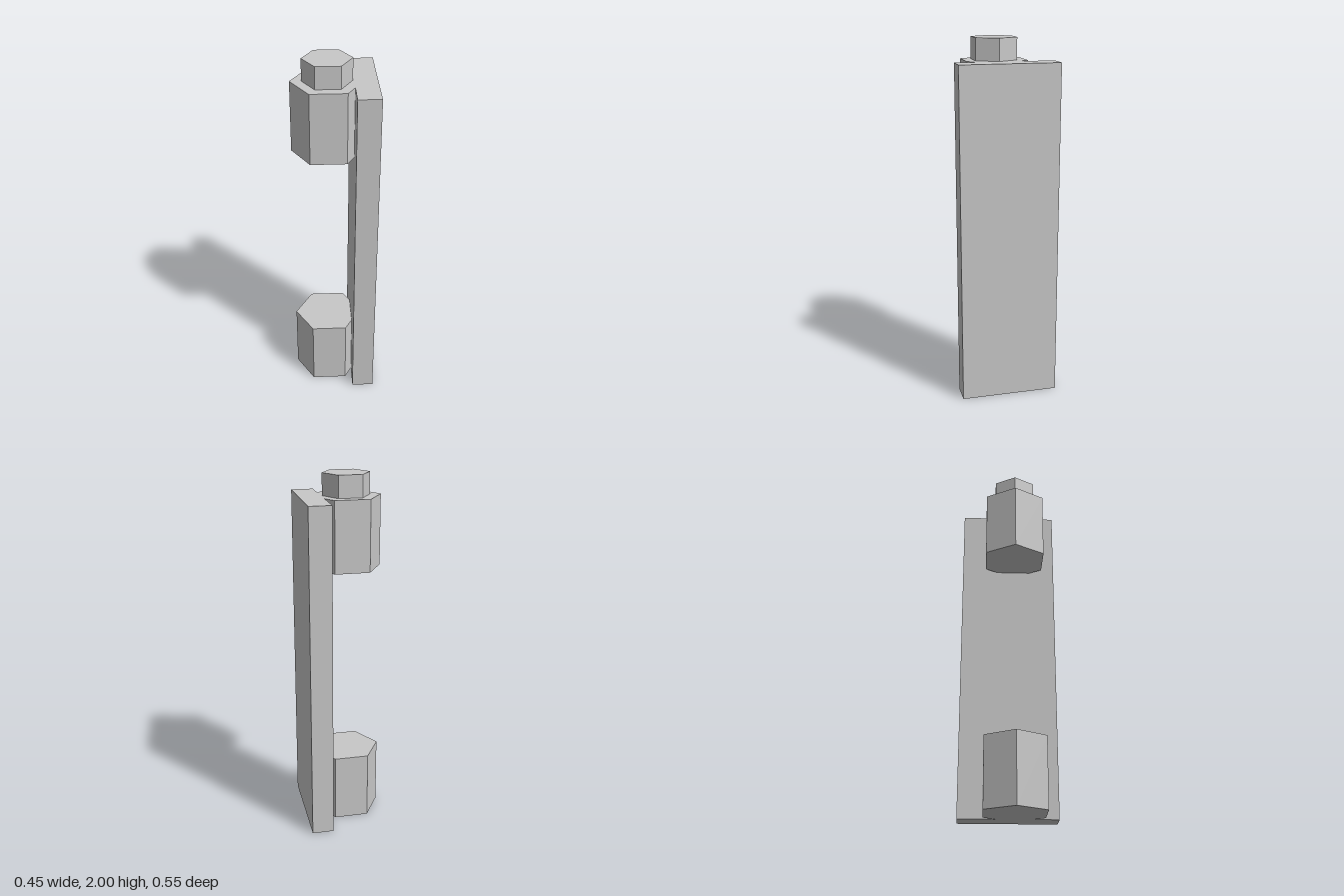
import * as THREE from 'three';

export function createModel() {
  const model = new THREE.Group();
  const grey = new THREE.MeshStandardMaterial({ color: 0xc8c8c8 });
  grey.name = 'light grey';

  const add = (name, geometry, x, y, z) => {
    const mesh = new THREE.Mesh(geometry, grey);
    mesh.name = name;
    mesh.position.set(x, y, z);
    model.add(mesh);
  };

  // Six-sided upright prism on the hinge axis, with corners pointing along x
  const axisX = -0.033, axisZ = 0.029;
  const hexPrism = (name, radius, bottom, top) => {
    const geometry = new THREE.CylinderGeometry(radius, radius, top - bottom, 6)
      .rotateY(Math.PI / 6)
      .toNonIndexed();
    geometry.computeVertexNormals(); // crisp flat sides
    add(name, geometry, axisX, (bottom + top) / 2, axisZ);
  };

  // Flat plate that carries the knuckles
  add('hingeLeaf', new THREE.BoxGeometry(0.122, 1.88, 0.545), 0.164, 0.94, -0.001);

  // Knuckles at both ends, sunk into the plate
  hexPrism('lowerKnuckle', 0.192, 0, 0.39);
  hexPrism('upperKnuckle', 0.192, 1.49, 1.88);

  // Pin head standing on the upper knuckle
  hexPrism('pinHead', 0.131, 1.88, 2);

  return model;
}
